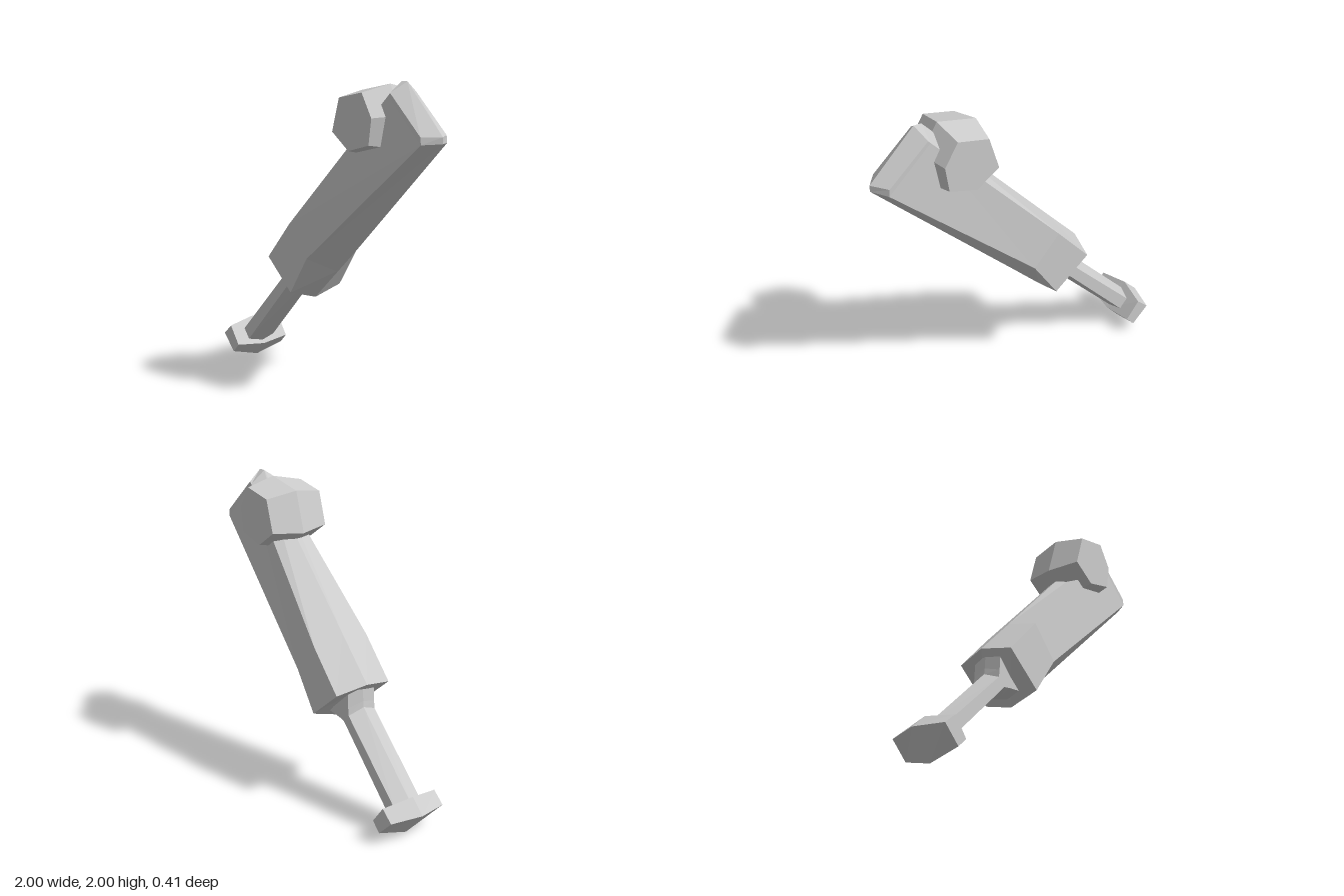
import * as THREE from 'three';

const material = new THREE.MeshStandardMaterial({ color: 0xcccccc, flatShading: true });

// Skin a series of six-point rings and close both ends with two quads each.
function loft(name, rings) {
  const pos = [];
  const quad = (a, b, c, d) => [a, b, c, a, c, d].forEach((p) => pos.push(...p));
  for (let i = 0; i < rings.length - 1; i++) {
    const lo = rings[i], hi = rings[i + 1];
    for (let k = 0; k < 6; k++) {
      const n = (k + 1) % 6;
      quad(lo[k], lo[n], hi[n], hi[k]);
    }
  }
  const s = rings[0], e = rings[rings.length - 1];
  quad(s[3], s[2], s[1], s[0]);
  quad(s[0], s[5], s[4], s[3]);
  quad(e[0], e[1], e[2], e[3]);
  quad(e[3], e[4], e[5], e[0]);
  const geometry = new THREE.BufferGeometry();
  geometry.setAttribute('position', new THREE.Float32BufferAttribute(pos, 3));
  geometry.computeVertexNormals();
  const mesh = new THREE.Mesh(geometry, material);
  mesh.name = name;
  return mesh;
}

// Ridged section: ridge and face-edge points on the upper side, then the lower side.
function section(h, ridgeL, faceL, faceR, ridgeR) {
  return [
    [...ridgeL, 0], [...faceL, h], [...faceR, h],
    [...ridgeR, 0], [...faceR, -h], [...faceL, -h],
  ];
}

export function createModel() {
  const group = new THREE.Group();
  group.name = 'slantedTool';

  // Wide body that thins toward a bevelled tip
  group.add(loft('body', [
    section(0.205, [-0.45, 0.85], [-0.41, 0.81], [-0.17, 0.61], [-0.17, 0.55]),
    section(0.205, [-0.2, 1.11], [-0.18, 1.06], [0.0, 0.86], [0.05, 0.76]),
    section(0.103, [0.65, 2.0], [0.65, 1.92], [0.93, 1.655], [1.0, 1.66]),
    section(0.103, [0.7, 2.0], [0.665, 1.935], [0.925, 1.7], [1.0, 1.7]),
  ]));

  // Slim handle flaring into the body
  group.add(loft('handle', [
    section(0.103, [-0.88, 0.23], [-0.86, 0.2], [-0.8, 0.14], [-0.79, 0.11]),
    section(0.103, [-0.42, 0.69], [-0.4, 0.65], [-0.35, 0.6], [-0.31, 0.59]),
    section(0.103, [-0.415, 0.73], [-0.395, 0.7], [-0.3, 0.61], [-0.26, 0.595]),
    section(0.103, [-0.41, 0.82], [-0.39, 0.79], [-0.2, 0.62], [-0.18, 0.59]),
  ]));

  // End cap of the handle
  group.add(loft('endCap', [
    section(0.205, [-1.0, 0.18], [-0.95, 0.17], [-0.84, 0.06], [-0.85, 0.005]),
    section(0.205, [-0.905, 0.27], [-0.87, 0.24], [-0.78, 0.12], [-0.76, 0.1]),
  ]));

  // Faceted knob near the tip, widest at its middle
  const rim = [[0.66, 1.8], [0.55, 1.98], [0.29, 1.93], [0.21, 1.67], [0.4, 1.54], [0.63, 1.6]];
  const centre = [0.455, 1.755];
  const knobRing = (z, s) => rim.map(([x, y]) => [
    centre[0] + (x - centre[0]) * s, centre[1] + (y - centre[1]) * s, z,
  ]);
  group.add(loft('knob', [knobRing(-0.205, 0.8), knobRing(0, 1), knobRing(0.205, 0.8)]));

  return group;
}
